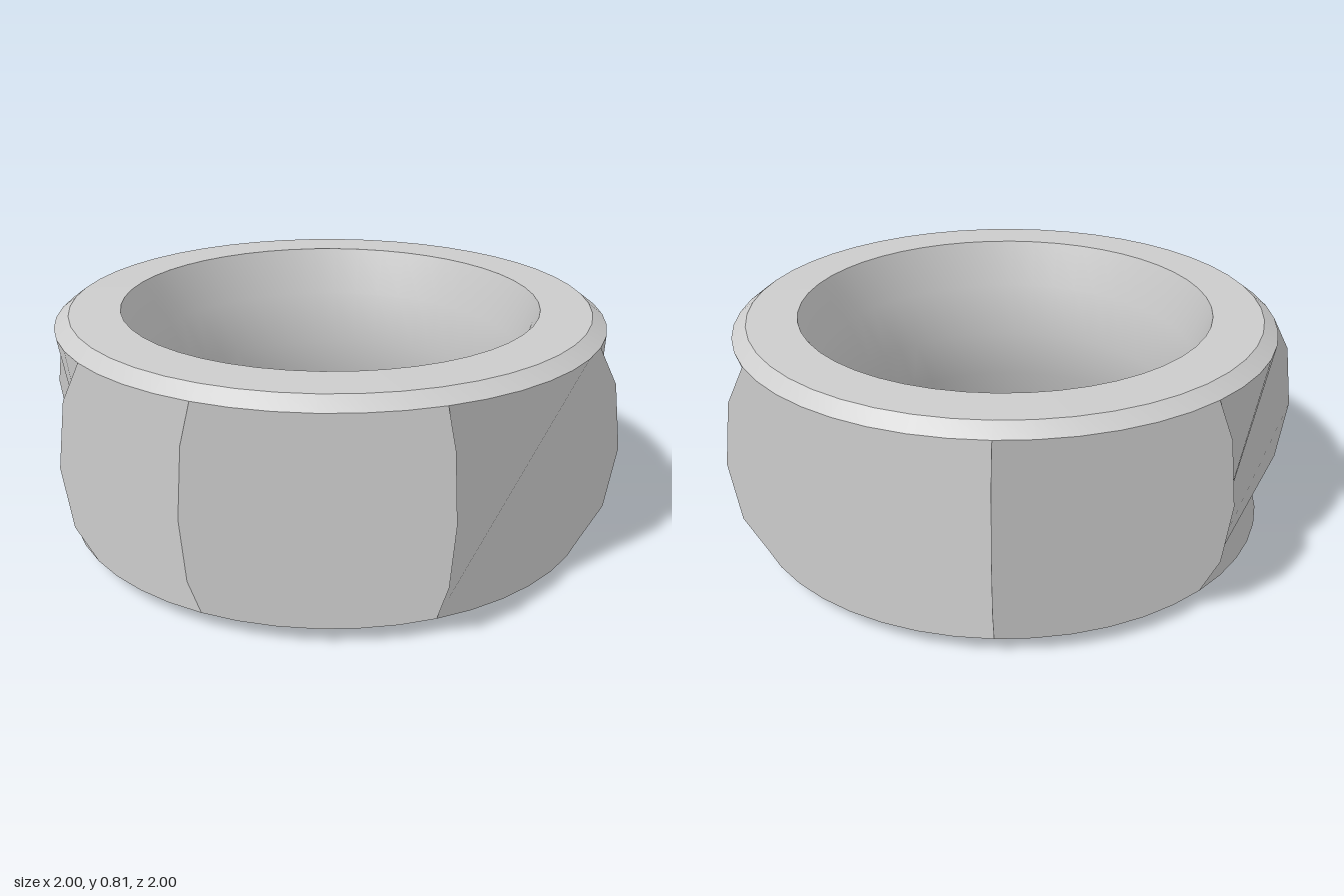
import * as THREE from 'three';
import { toCreasedNormals } from 'three/addons/utils/BufferGeometryUtils.js';

const STEP = 7.5; // degrees between points of the round edges

// Corner angles from +x towards +z; half of the ring is turned by 15 degrees
const CORNERS = [-22.5, 22.5, 67.5, 112.5, 142.5, 187.5, 232.5, 277.5, 337.5];

const BOTTOM = [0.94, 0.06];
const TOP = [0.955, 0.765];
const BULGE = [[1.012, 0.21], [1.043, 0.43], [1.014, 0.65]]; // corner edge between them

function ringPoint([radius, y], degrees) {
  const a = THREE.MathUtils.degToRad(degrees);
  return new THREE.Vector3(radius * Math.cos(a), y, radius * Math.sin(a));
}

// Eight flat-shaded panels, each a fan spread from its far lower corner
function wallGeometry() {
  const positions = [];
  const normals = [];
  for (let f = 0; f < CORNERS.length - 1; f++) {
    const start = CORNERS[f];
    const end = CORNERS[f + 1];
    const loop = [];
    for (let a = end; a >= start; a -= STEP) loop.push(ringPoint(BOTTOM, a));
    BULGE.forEach((p) => loop.push(ringPoint(p, start)));
    for (let a = start; a <= end; a += STEP) loop.push(ringPoint(TOP, a));
    [...BULGE].reverse().forEach((p) => loop.push(ringPoint(p, end)));

    const normal = ringPoint([1, 0], (start + end) / 2);
    for (let i = 1; i < loop.length - 1; i++) {
      for (const p of [loop[0], loop[i], loop[i + 1]]) {
        positions.push(p.x, p.y, p.z);
        normals.push(normal.x, normal.y, normal.z);
      }
    }
  }
  const geometry = new THREE.BufferGeometry();
  geometry.setAttribute('position', new THREE.Float32BufferAttribute(positions, 3));
  geometry.setAttribute('normal', new THREE.Float32BufferAttribute(normals, 3));
  return geometry;
}

// Turned part from [radius, y] points, optionally leaving a gap after gapStart
function turned(profile, gapStart = 0, gap = 0) {
  const points = profile.map(([r, y]) => new THREE.Vector2(r, y));
  const sweep = 360 - gap;
  const geometry = new THREE.LatheGeometry(points, sweep / STEP,
    THREE.MathUtils.degToRad(gapStart + gap), THREE.MathUtils.degToRad(sweep));
  return toCreasedNormals(geometry, 0.5);
}

export function createModel() {
  const model = new THREE.Group();
  model.name = 'facetedRing';
  const material = new THREE.MeshStandardMaterial({ color: 0xcccccc });

  const parts = {
    // Inner and outer lower chamfers, with a short notch at the back
    bottomRim: turned([[0.73, 0.06], [0.838, 0], BOTTOM], 135, 15),
    outerWall: wallGeometry(),
    // Upper chamfer and flat top
    topRim: turned([TOP, [0.905, 0.803], [0.73, 0.805]]),
    // Bore, narrowest at mid height
    bore: turned([[0.73, 0.805], [0.675, 0.63], [0.637, 0.43], [0.675, 0.23], [0.73, 0.06]]),
  };

  for (const [name, geometry] of Object.entries(parts)) {
    const mesh = new THREE.Mesh(geometry, material);
    mesh.name = name;
    mesh.position.set(0.035, 0, 0.03);
    model.add(mesh);
  }
  return model;
}
